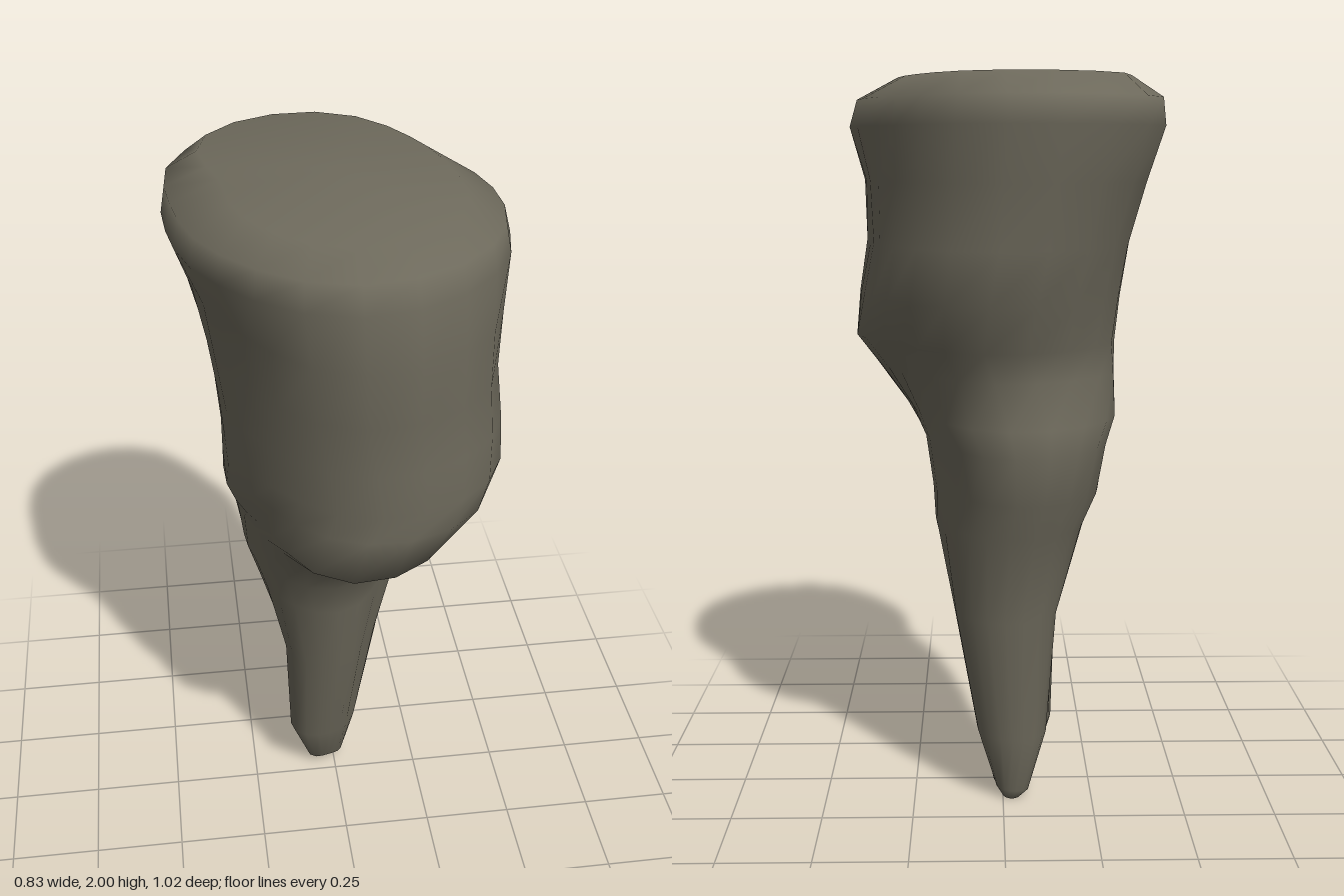
import * as THREE from 'three';

// Each row: height, then reach from the axis in eight directions,
// every 45 degrees from +x by way of +z
const ROWS = [
  [0.00, 0.00, -0.06, -0.06, -0.02, 0.05, 0.12, 0.14, 0.085],
  [0.03, 0.02, -0.02, -0.03, 0.03, 0.06, 0.15, 0.155, 0.10],
  [0.20, 0.07, 0.03, 0.05, 0.11, 0.12, 0.19, 0.20, 0.15],
  [0.55, 0.13, 0.08, 0.13, 0.15, 0.14, 0.22, 0.24, 0.20],
  [0.80, 0.185, 0.13, 0.20, 0.20, 0.22, 0.28, 0.30, 0.23],
  [0.90, 0.19, 0.15, 0.22, 0.22, 0.255, 0.33, 0.345, 0.24],
  [1.03, 0.21, 0.25, 0.31, 0.25, 0.27, 0.345, 0.37, 0.25],
  [1.10, 0.25, 0.39, 0.455, 0.30, 0.28, 0.34, 0.36, 0.25],
  [1.22, 0.34, 0.47, 0.46, 0.34, 0.295, 0.33, 0.34, 0.27],
  [1.30, 0.40, 0.48, 0.47, 0.35, 0.30, 0.34, 0.38, 0.32],
  [1.42, 0.385, 0.475, 0.475, 0.355, 0.31, 0.37, 0.43, 0.38],
  [1.56, 0.355, 0.465, 0.48, 0.36, 0.33, 0.40, 0.47, 0.38],
  [1.72, 0.365, 0.475, 0.51, 0.38, 0.36, 0.44, 0.465, 0.37],
  [1.86, 0.405, 0.46, 0.50, 0.43, 0.415, 0.50, 0.515, 0.39],
  [1.93, 0.385, 0.45, 0.485, 0.42, 0.40, 0.49, 0.49, 0.38],
  [1.985, 0.28, 0.36, 0.42, 0.33, 0.28, 0.42, 0.43, 0.31],
];
const SEGMENTS = 24;

// Smooth closed interpolation through the eight radii
function radiusAt(radii, t) {
  const i = Math.floor(t), f = t - i;
  const [a, b, c, d] = [-1, 0, 1, 2].map((k) => radii[(i + k + 8) % 8]);
  return b + 0.5 * f * (c - a + f * (2 * a - 5 * b + 4 * c - d + f * (3 * (b - c) + d - a)));
}

function rockGeometry() {
  const positions = [], index = [];
  const centre = ([, ...r]) => [(r[0] - r[4]) / 2, (r[2] - r[6]) / 2];
  for (const row of ROWS) {
    const [cx, cz] = centre(row);
    const radii = row.slice(1).map((reach, k) => {
      const a = (k * Math.PI) / 4;
      return reach - cx * Math.cos(a) - cz * Math.sin(a);
    });
    for (let j = 0; j < SEGMENTS; j++) {
      const a = (j / SEGMENTS) * Math.PI * 2;
      const r = radiusAt(radii, (j / SEGMENTS) * 8);
      positions.push(cx + r * Math.cos(a), row[0], cz + r * Math.sin(a));
    }
  }
  // Centres of the tip and the flat crown
  const last = ROWS.length - 1, tip = ROWS.length * SEGMENTS, crown = tip + 1;
  const [tx, tz] = centre(ROWS[0]), [kx, kz] = centre(ROWS[last]);
  positions.push(tx, 0, tz, kx, 2, kz);

  for (let j = 0; j < SEGMENTS; j++) {
    const n = (j + 1) % SEGMENTS;
    for (let i = 0; i < last; i++) {
      const a = i * SEGMENTS + j, b = i * SEGMENTS + n;
      index.push(a, a + SEGMENTS, b, b, a + SEGMENTS, b + SEGMENTS);
    }
    index.push(tip, j, n, crown, last * SEGMENTS + n, last * SEGMENTS + j);
  }
  const geometry = new THREE.BufferGeometry();
  geometry.setAttribute('position', new THREE.Float32BufferAttribute(positions, 3));
  geometry.setIndex(index);
  geometry.computeVertexNormals();
  return geometry;
}

export function createModel() {
  const stone = new THREE.MeshStandardMaterial({ color: 0x6f6b5d });
  stone.name = 'stone';
  const rock = new THREE.Mesh(rockGeometry(), stone);
  rock.name = 'hangingRock';
  const group = new THREE.Group();
  group.name = 'rockFormation';
  group.add(rock);
  return group;
}
